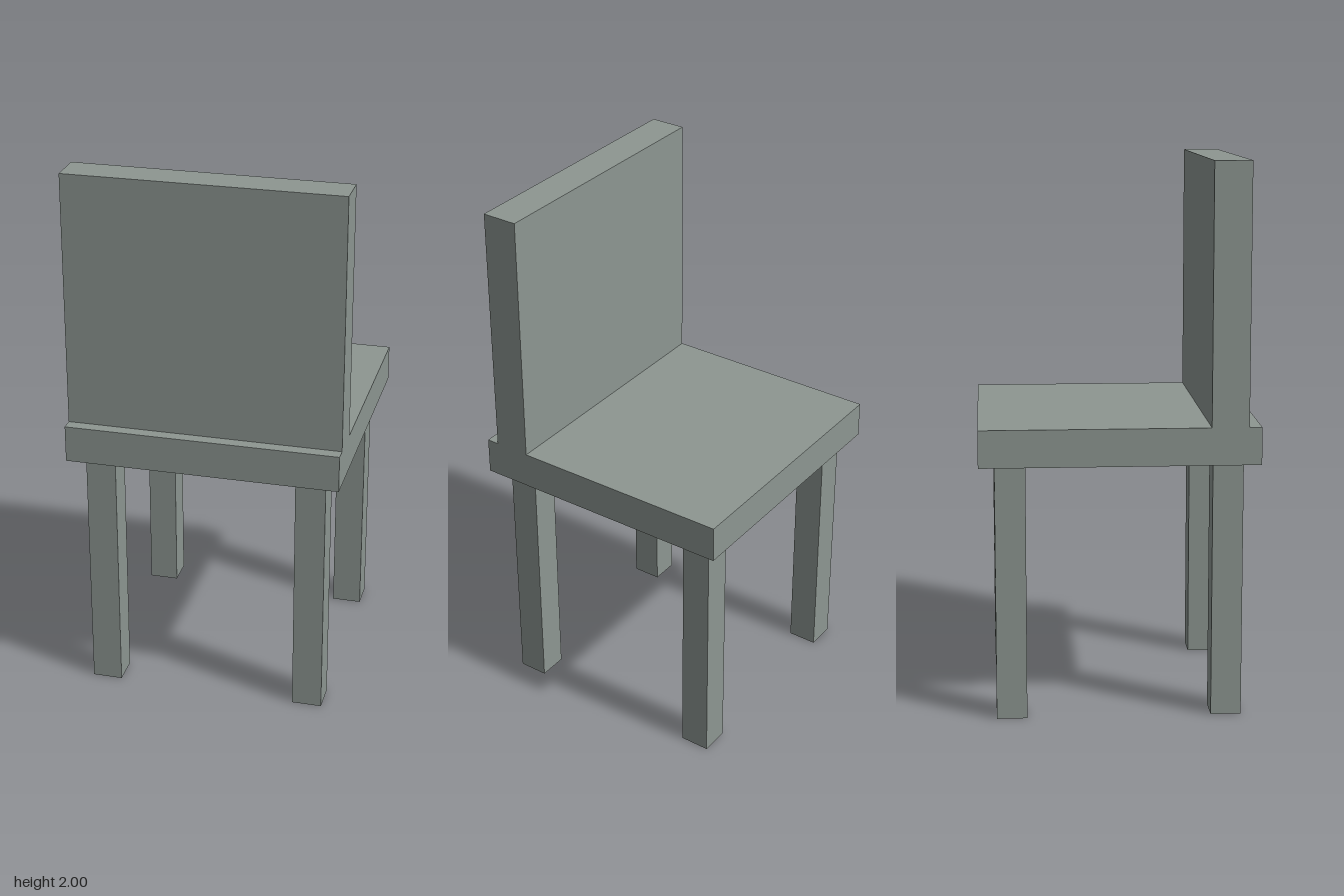
import * as THREE from 'three';

export function createModel() {
  const chair = new THREE.Group();
  chair.name = 'chair';
  const greyGreen = new THREE.MeshStandardMaterial({ color: 0x8d9691 });
  greyGreen.name = 'greyGreen';

  // Box given by its size, its centre in x and z, and its underside in y
  function addBox(name, [w, h, d], [x, bottom, z]) {
    const mesh = new THREE.Mesh(new THREE.BoxGeometry(w, h, d), greyGreen);
    mesh.name = name;
    mesh.position.set(x, bottom + h / 2, z);
    chair.add(mesh);
  }

  const seatBottom = 0.935, seatTop = 1.07;

  // Seat slab and upright backrest, set in slightly from the +z edge
  addBox('seat', [1, seatTop - seatBottom, 1], [0, seatBottom, 0]);
  addBox('backrest', [1, 2 - seatTop, 0.133], [0, seatTop, 0.388]);

  // Four square legs
  for (const [side, x] of [['left', 0.388], ['right', -0.388]]) {
    for (const [end, z] of [['Front', 0.388], ['Back', -0.388]]) {
      addBox(`${side}${end}Leg`, [0.11, seatBottom, 0.11], [x, 0, z]);
    }
  }

  return chair;
}
